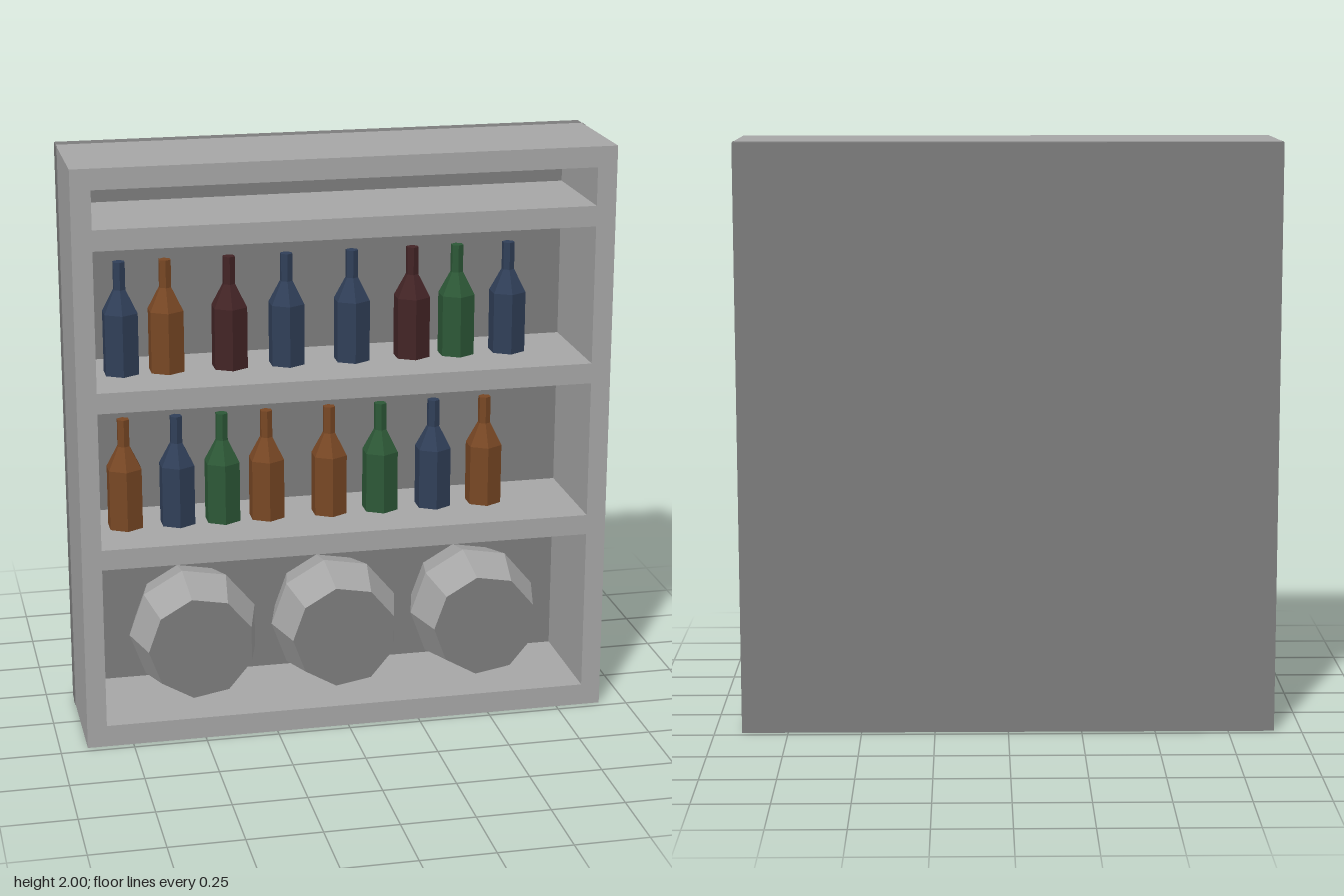
import * as THREE from 'three';

const mat = (name, color) => {
  const m = new THREE.MeshStandardMaterial({ color });
  m.name = name;
  return m;
};

// Faceted solid of revolution from [radius, height] pairs
function facetedLathe(points, sides, phiStart = 0) {
  const profile = points.map(([r, y]) => new THREE.Vector2(r, y));
  const geo = new THREE.LatheGeometry(profile, sides, phiStart).toNonIndexed();
  geo.computeVertexNormals();
  return geo;
}

function rectangle(Type, x0, y0, x1, y1) {
  const p = new Type();
  p.moveTo(x0, y0);
  p.lineTo(x1, y0);
  p.lineTo(x1, y1);
  p.lineTo(x0, y1);
  p.closePath();
  return p;
}

export function createModel() {
  const model = new THREE.Group();
  model.name = 'bottleShelf';
  const lightGrey = mat('lightGrey', 0xa6a6a6);
  const darkGrey = mat('darkGrey', 0x7d7d7d);
  const blue = mat('blueGlass', 0x303f58);
  const brown = mat('brownGlass', 0x784724);
  const wine = mat('wineGlass', 0x432426);
  const green = mat('greenGlass', 0x2d5837);

  const add = (name, geo, material, x = 0, y = 0, z = 0) => {
    const mesh = new THREE.Mesh(geo, material);
    mesh.name = name;
    mesh.position.set(x, y, z);
    model.add(mesh);
    return mesh;
  };

  // Frame with four open compartments
  const W = 0.907, back = -0.175;
  const shape = rectangle(THREE.Shape, -W, 0, W, 2);
  for (const [y0, y1] of [[0.075, 0.64], [0.71, 1.185], [1.255, 1.73], [1.8, 1.93]]) {
    shape.holes.push(rectangle(THREE.Path, -0.84, y0, 0.84, y1));
  }
  add('frame', new THREE.ExtrudeGeometry(shape, { depth: 0.4, bevelEnabled: false }), lightGrey, 0, 0, back);

  // Back panel and its edging on both sides
  add('backPanel', new THREE.BoxGeometry(2 * W, 2, 0.05), darkGrey, 0, 1, -0.2);
  for (const s of [-1, 1]) {
    add('sideEdging', new THREE.BoxGeometry(0.004, 2, 0.035), darkGrey, s * W, 1, back + 0.0175);
  }

  // Two rows of six-sided bottles
  const bottleGeo = facetedLathe(
    [[0, 0], [0.064, 0], [0.064, 0.21], [0.022, 0.288], [0.022, 0.382], [0, 0.382]], 6);
  const rows = [
    [1.255, [[-0.73, blue], [-0.577, brown], [-0.362, wine], [-0.167, blue],
      [0.058, blue], [0.267, wine], [0.423, green], [0.603, blue]]],
    [0.71, [[-0.73, brown], [-0.55, blue], [-0.394, green], [-0.24, brown],
      [-0.021, brown], [0.159, green], [0.347, blue], [0.529, brown]]],
  ];
  for (const [y, bottles] of rows) {
    for (const [x, glass] of bottles) add('bottle', bottleGeo, glass, x, y, 0);
  }

  // Three nine-sided barrels lying front to back, with darker ends
  const L = 0.17, rEnd = 0.183, rMid = 0.227;
  const staves = facetedLathe([[rEnd, -L], [rMid, 0], [rEnd, L]], 9, -Math.PI / 2).rotateX(Math.PI / 2);
  const frontEnd = facetedLathe([[rEnd, L], [0, L]], 9, -Math.PI / 2).rotateX(Math.PI / 2);
  const backEnd = facetedLathe([[0, -L], [rEnd, -L]], 9, -Math.PI / 2).rotateX(Math.PI / 2);
  for (const x of [-0.5, 0, 0.5]) {
    add('barrelStaves', staves, lightGrey, x, 0.307, 0);
    add('barrelFront', frontEnd, darkGrey, x, 0.307, 0);
    add('barrelBack', backEnd, darkGrey, x, 0.307, 0);
  }
  return model;
}
